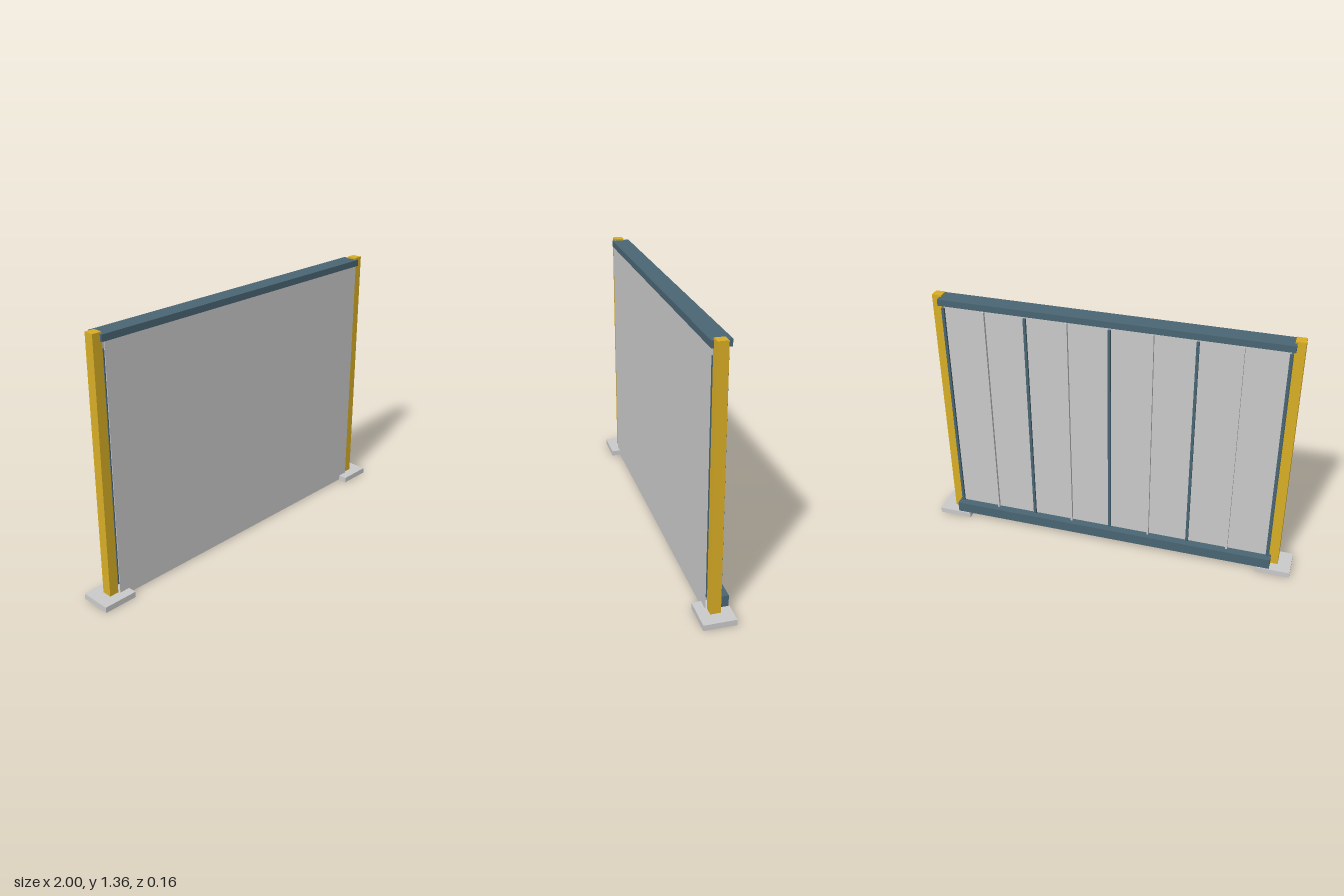
import * as THREE from 'three';

const grey = new THREE.MeshStandardMaterial({ color: 0xcccccc });
const steel = new THREE.MeshStandardMaterial({ color: 0x4a6674 });
const yellow = new THREE.MeshStandardMaterial({ color: 0xd9ae26 });

// Box given by its lower and upper limits on each axis
function block(name, material, [x0, x1], [y0, y1], [z0, z1]) {
  const mesh = new THREE.Mesh(new THREE.BoxGeometry(x1 - x0, y1 - y0, z1 - z0), material);
  mesh.position.set((x0 + x1) / 2, (y0 + y1) / 2, (z0 + z1) / 2);
  mesh.name = name;
  return mesh;
}

export function createModel() {
  const model = new THREE.Group();
  model.name = 'wallPanel';

  // Foot plate, post and end stud on each side
  for (const s of [-1, 1]) {
    const span = (a, b) => (s > 0 ? [a, b] : [-b, -a]);
    const side = s > 0 ? 'left' : 'right';
    model.add(
      block(side + 'FootPlate', grey, span(0.82, 1), [0, 0.03], [-0.082, 0.082]),
      block(side + 'Post', yellow, span(0.88, 0.93), [0.03, 1.355], [-0.026, 0.026]),
      block(side + 'EndStud', steel, span(0.868, 0.88), [0.09, 1.275], [-0.03, 0.031]),
    );
  }

  // Top and bottom rails
  model.add(
    block('topRail', steel, [-0.89, 0.89], [1.312, 1.346], [-0.056, 0.038]),
    block('bottomRail', steel, [-0.89, 0.89], [0.03, 0.088], [-0.077, -0.026]),
  );

  // Thin front and back sheets
  model.add(
    block('frontSheet', grey, [-0.875, 0.875], [0.004, 1.312], [0.031, 0.035]),
    block('backSheet', grey, [-0.87, 0.87], [0.088, 1.3], [-0.034, -0.03]),
  );

  // Ribs on the back, alternating dark main ribs and grey seam ribs
  for (let i = -4; i <= 4; i++) {
    const main = i % 2 === 0;
    const x = i * 0.2175;
    const half = main ? 0.007 : 0.005;
    model.add(block(main ? 'mainRib' : 'seamRib', main ? steel : grey,
      [x - half, x + half], [0.088, main ? 1.295 : 1.302], [main ? -0.046 : -0.05, -0.034]));
  }
  return model;
}
